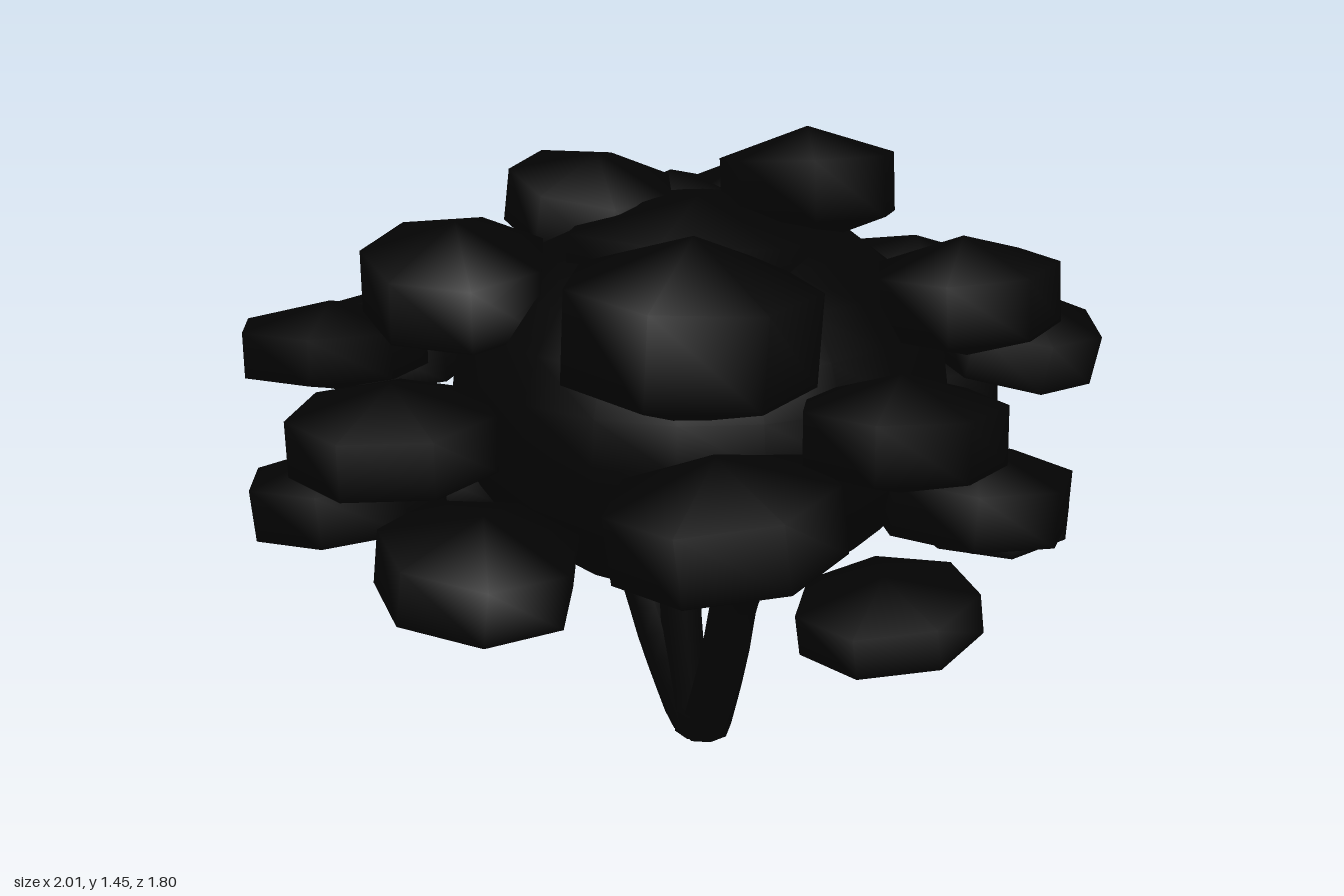
import * as THREE from 'three';

export function createModel() {
  const group = new THREE.Group();
  const leaf = new THREE.MeshStandardMaterial({ color: 0x030303 });
  const bark = new THREE.MeshStandardMaterial({ color: 0x030303 });

  const add = (geometry, material, name) => {
    const mesh = new THREE.Mesh(geometry, material);
    mesh.name = name;
    group.add(mesh);
    return mesh;
  };

  // Rounded core of the crown
  const core = add(new THREE.SphereGeometry(1, 20, 14), leaf, 'crownCore');
  core.scale.set(0.56, 0.44, 0.57);
  core.position.set(0, 0.87, 0);

  // Flattened leaf clumps around the core: x, y, z, radius, half height
  const clumps = [
    // lowest ring
    [0.29, 0.5, 0.5, 0.23, 0.09], [0.7, 0.54, 0.04, 0.23, 0.09], [-0.53, 0.55, -0.51, 0.24, 0.1],
    [0.07, 0.52, 0.08, 0.2, 0.09],
    // lower ring
    [-0.56, 0.67, 0.45, 0.24, 0.12], [0.5, 0.72, 0.42, 0.25, 0.12], [0.67, 0.72, -0.37, 0.23, 0.11],
    [-0.2, 0.71, -0.66, 0.25, 0.11], [-0.8, 0.73, 0.12, 0.24, 0.11],
    // middle ring
    [-0.11, 0.81, 0.67, 0.27, 0.14], [0.37, 0.91, -0.68, 0.27, 0.13], [-0.67, 0.89, -0.48, 0.26, 0.12],
    [-0.7, 0.89, 0.25, 0.25, 0.12], [0.8, 0.91, -0.1, 0.24, 0.12], [-0.8, 0.98, -0.16, 0.24, 0.1],
    [0.26, 0.95, 0.62, 0.24, 0.12], [0.6, 1.0, -0.28, 0.24, 0.13],
    // upper ring
    [0.06, 1.1, -0.45, 0.32, 0.18], [0.51, 1.13, 0.3, 0.23, 0.13],
    [-0.54, 1.16, 0.06, 0.23, 0.14], [0.28, 1.18, -0.45, 0.25, 0.14],
    // top
    [-0.13, 1.14, 0.46, 0.3, 0.19], [-0.21, 1.27, -0.16, 0.22, 0.12], [0.25, 1.32, 0, 0.23, 0.13],
    [-0.03, 1.17, 0.1, 0.34, 0.16],
  ];
  clumps.forEach(([x, y, z, r, h], i) => {
    const clump = add(new THREE.SphereGeometry(r, 7, 3), leaf, 'leafClump');
    clump.scale.y = h / r;
    clump.position.set(x, y, z);
    clump.rotation.set(0.13 * Math.sin(i * 2.1), i * 2.4, 0.13 * Math.cos(i * 1.7));
  });

  // Forked trunk: tapered tubes through cross-section points [x, y, z, radius]
  const limb = (points, name) => {
    const path = new THREE.CatmullRomCurve3(points.map(p => new THREE.Vector3(p[0], p[1], p[2])));
    const steps = 10, sides = 8;
    const geometry = new THREE.TubeGeometry(path, steps, 1, sides);
    const pos = geometry.attributes.position;
    const v = new THREE.Vector3();
    for (let i = 0; i <= steps; i++) {
      const c = path.getPointAt(i / steps);
      const r = THREE.MathUtils.lerp(points[0][3], points[points.length - 1][3], i / steps);
      for (let j = 0; j <= sides; j++) {
        const k = i * (sides + 1) + j;
        v.fromBufferAttribute(pos, k).sub(c).multiplyScalar(r).add(c);
        pos.setXYZ(k, v.x, Math.max(0, v.y), v.z);
      }
    }
    geometry.computeVertexNormals();
    add(geometry, bark, name);
  };
  limb([[0.01, 0, 0.015, 0.062], [0.045, 0.22, 0.068, 0.064], [0.06, 0.38, 0.105, 0.06], [0.07, 0.56, 0.24, 0.055]], 'frontLimb');
  limb([[0, 0, -0.015, 0.062], [-0.07, 0.22, -0.075, 0.064], [-0.11, 0.38, -0.145, 0.06], [-0.18, 0.56, -0.27, 0.055]], 'backLimb');
  limb([[-0.02, 0.06, -0.01, 0.05], [-0.035, 0.28, -0.035, 0.05], [-0.035, 0.52, -0.065, 0.05]], 'innerLimb');

  // Cap under the trunk
  const foot = add(new THREE.CylinderGeometry(0.068, 0.065, 0.06, 8), bark, 'trunkBase');
  foot.position.set(0.005, 0.03, 0);

  return group;
}
